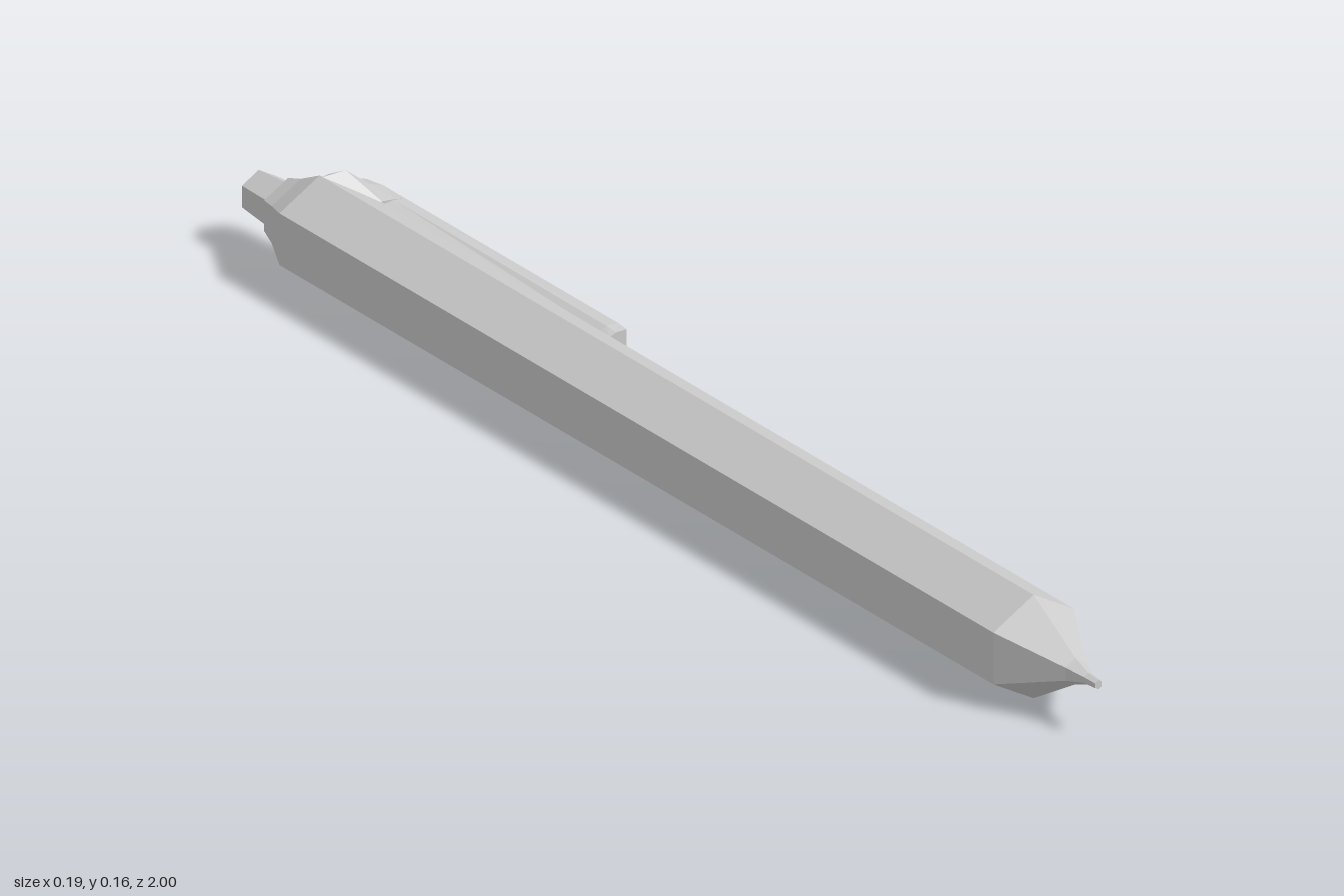
import * as THREE from 'three';

const CX = -0.027, CY = 0.079; // axis of the barrel

const material = new THREE.MeshStandardMaterial({ color: 0xcccccc, flatShading: true });

function addPart(group, name, geometry) {
  const mesh = new THREE.Mesh(geometry, material);
  mesh.name = name;
  group.add(mesh);
  return mesh;
}

// Six-sided turned part along z, from [radius, z] pairs running back to front
function hexTurned(profile) {
  const points = profile.map(([r, z]) => new THREE.Vector2(r, z));
  return new THREE.LatheGeometry(points, 6).rotateX(Math.PI / 2).translate(CX, CY, 0);
}

// Solid through sections running back to front. Each section lists
// [x, halfHeight] from inside to outside and is mirrored about the axis height.
function loft(sections) {
  const position = [], index = [];
  const n = sections[0].points.length * 2;
  sections.forEach(({ z, points }) => {
    points.forEach(([x, h]) => position.push(x, CY - h, z));
    [...points].reverse().forEach(([x, h]) => position.push(x, CY + h, z));
  });
  for (let i = 0; i < sections.length - 1; i++) {
    for (let j = 0; j < n; j++) {
      const a = i * n + j, b = i * n + (j + 1) % n;
      index.push(a, b, b + n, a, b + n, a + n);
    }
  }
  // End caps
  const last = (sections.length - 1) * n;
  for (let j = 1; j < n - 1; j++) {
    index.push(0, j + 1, j, last, last + j, last + j + 1);
  }
  const geometry = new THREE.BufferGeometry();
  geometry.setAttribute('position', new THREE.Float32BufferAttribute(position, 3));
  geometry.setIndex(index);
  geometry.computeVertexNormals();
  return geometry;
}

export function createModel() {
  const group = new THREE.Group();
  group.name = 'pen';

  // Hexagonal barrel with a chamfered rear end
  addPart(group, 'barrel', hexTurned([
    [0, -0.93], [0.047, -0.93], [0.057, -0.9], [0.079, -0.855], [0.079, 0.845],
  ]));

  // Concave writing tip
  addPart(group, 'tip', hexTurned([
    [0.079, 0.845], [0.02, 0.945], [0.009, 0.975], [0.007, 1], [0, 1],
  ]));

  // Push button
  addPart(group, 'button', hexTurned([
    [0, -1], [0.033, -1], [0.039, -0.925],
  ]));

  // Flared bracket joining the clip to the barrel
  addPart(group, 'clipBracket', loft([
    { z: -0.885, points: [[-0.027, 0.05], [0.01, 0.06], [0.05, 0.043], [0.075, 0.035]] },
    { z: -0.85, points: [[-0.027, 0.078], [0.014, 0.078], [0.055, 0.046], [0.079, 0.037]] },
    { z: -0.8, points: [[0.02, 0.035], [0.04, 0.042], [0.06, 0.04], [0.08, 0.036]] },
  ]));

  // Tapering clip with a bevelled inner side
  addPart(group, 'clip', loft([
    { z: -0.885, points: [[0.03, 0.038], [0.055, 0.039], [0.077, 0.03]] },
    { z: -0.8, points: [[0.038, 0.036], [0.06, 0.039], [0.08, 0.036]] },
    { z: -0.31, points: [[0.06, 0.022], [0.072, 0.028], [0.092, 0.027]] },
    { z: -0.29, points: [[0.062, 0.02], [0.074, 0.025], [0.092, 0.025]] },
  ]));

  return group;
}
